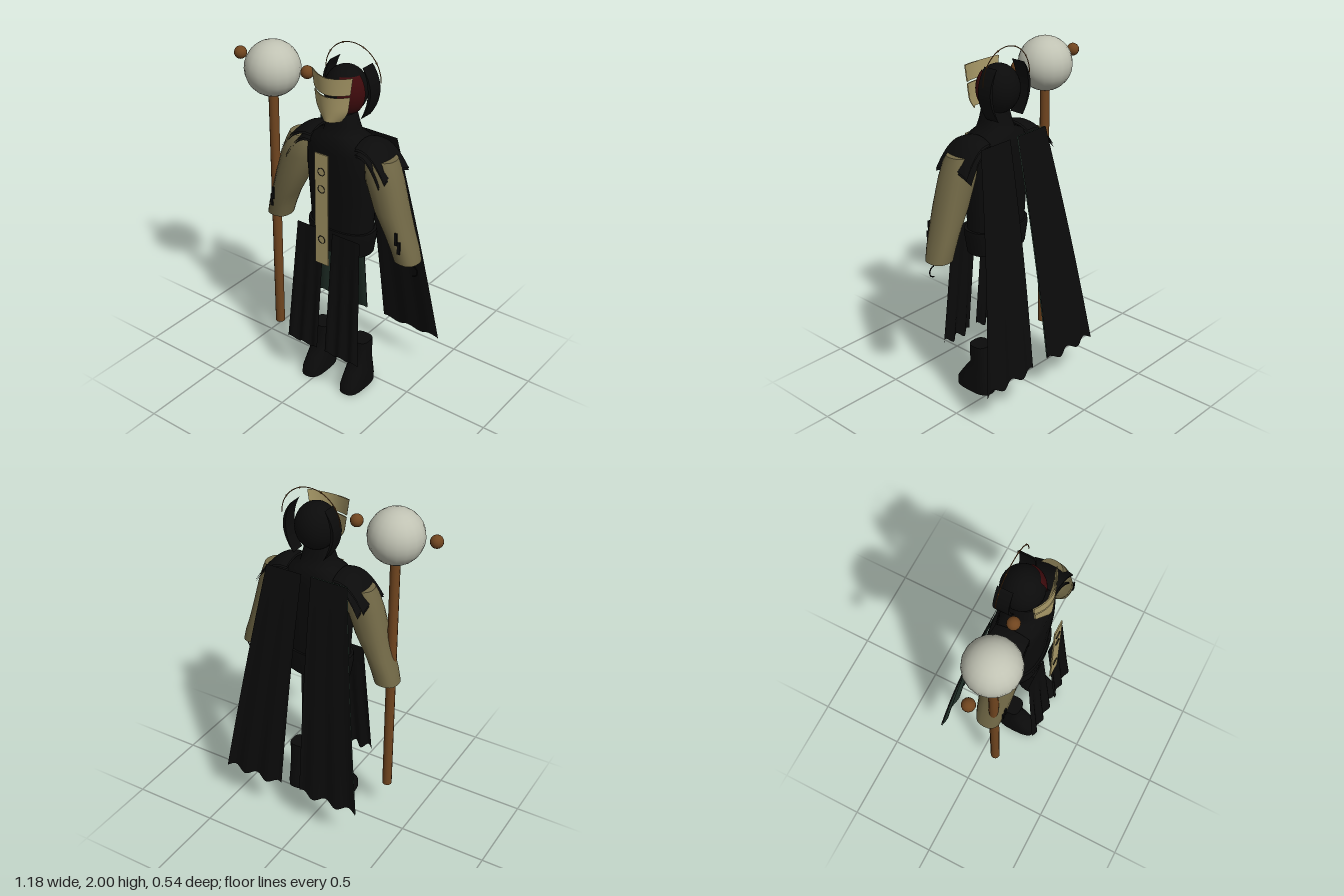
import * as THREE from 'three';

const CX = 0.095; // the figure's own centre line

function material(name, color, side = THREE.FrontSide) {
  const m = new THREE.MeshStandardMaterial({ color, side });
  m.name = name;
  return m;
}

// Closed body from horizontal oval sections [x, y, z, rx, rz], bottom to top
function loft(sections, n = 24, power = 1) {
  const pos = [], idx = [];
  const bend = (v) => Math.sign(v) * Math.abs(v) ** power;
  const ring = ([x, y, z, rx, rz]) => {
    for (let i = 0; i < n; i++) {
      const a = (i / n) * Math.PI * 2;
      pos.push(x + rx * bend(Math.cos(a)), y, z + rz * bend(Math.sin(a)));
    }
  };
  sections.forEach(ring);
  for (let j = 0; j < sections.length - 1; j++) {
    for (let i = 0; i < n; i++) {
      const a = j * n + i, b = j * n + ((i + 1) % n);
      idx.push(a, a + n, b, b, a + n, b + n);
    }
  }
  // flat caps with their own vertices
  [[sections[0], false], [sections[sections.length - 1], true]].forEach(([s, top]) => {
    const c = pos.length / 3;
    pos.push(s[0], s[1], s[2]);
    ring(s);
    for (let i = 0; i < n; i++) {
      const a = c + 1 + i, b = c + 1 + ((i + 1) % n);
      if (top) idx.push(c, b, a); else idx.push(c, a, b);
    }
  });
  const g = new THREE.BufferGeometry();
  g.setAttribute('position', new THREE.Float32BufferAttribute(pos, 3));
  g.setIndex(idx);
  g.computeVertexNormals();
  return g;
}

// Open sheet: rule(u, v) gives a point, u from -1 to 1 across, v from 0 (top) to 1
function sheet(rule, nu = 24, nv = 12) {
  const g = new THREE.PlaneGeometry(2, 1, nu, nv);
  const p = g.attributes.position;
  for (let i = 0; i < p.count; i++) p.setXYZ(i, ...rule(p.getX(i), 0.5 - p.getY(i)));
  g.computeVertexNormals();
  return g;
}

// Hanging cloth, with folds that grow towards the hem
function cloth(top, bottom, wave, sag, side) {
  const [t0, t1, ty, tz] = top, [b0, b1, by, bz] = bottom;
  const mix = THREE.MathUtils.lerp;
  return sheet((u, v) => {
    const s = (u + 1) / 2;
    const fold = Math.sin(s * Math.PI * 5 + 0.6) * v;
    return [
      CX + side * mix(mix(t0, t1, s), mix(b0, b1, s), v),
      mix(ty, by, v) + fold * 0.015,
      mix(tz, bz, v) + fold * wave + sag * Math.sin(v * Math.PI),
    ];
  });
}

export function createModel() {
  const model = new THREE.Group();
  const D = THREE.DoubleSide;
  const black = material('black cloth', 0x0b0b0b, D);
  const bone = material('bone plate', 0xa99a68, D);
  const sleeve = material('olive sleeve', 0x716846);
  const wood = material('brown wood', 0x70451f);
  const pearl = material('pale orb', 0xc0c2b3);
  const green = material('dark green lining', 0x22322a, D);
  const red = material('dark red', 0x3d0a0c);

  const add = (name, geometry, mat, x = 0, y = 0, z = 0) => {
    const m = new THREE.Mesh(geometry, mat);
    m.name = name;
    m.position.set(x, y, z);
    model.add(m);
    return m;
  };

  // Staff with its orb and two floating beads
  add('staffPole', new THREE.CylinderGeometry(0.027, 0.027, 1.46, 12), wood, -0.335, 0.93, 0.105);
  add('staffOrb', new THREE.SphereGeometry(0.15, 18, 14), pearl, -0.335, 1.79, 0.105);
  for (const x of [-0.56, -0.11]) add('bead', new THREE.SphereGeometry(0.035, 14, 10), wood, x, 1.82, 0.1);

  // Torso with collar, and belt
  add('torso', loft([
    [CX, 0.9, 0.07, 0.185, 0.105], [CX, 1.05, 0.07, 0.185, 0.108], [CX, 1.2, 0.07, 0.195, 0.115],
    [CX, 1.35, 0.07, 0.205, 0.122], [CX, 1.46, 0.07, 0.2, 0.122], [CX, 1.52, 0.07, 0.16, 0.12],
    [CX, 1.55, 0.07, 0.098, 0.095], [CX, 1.6, 0.07, 0.088, 0.075], [CX, 1.66, 0.07, 0.072, 0.065],
  ], 28, 0.85), black);
  add('belt', loft([
    [CX, 0.87, 0.07, 0.185, 0.11], [CX, 0.98, 0.07, 0.203, 0.12], [CX, 1.01, 0.07, 0.2, 0.118],
  ], 28, 0.85), black);

  // Front band with ring marks
  add('frontBand', new THREE.BoxGeometry(0.083, 0.65, 0.007), bone, CX, 1.155, 0.25);
  for (const y of [1.38, 1.28, 0.98]) {
    add('bandRing', new THREE.TorusGeometry(0.021, 0.002, 6, 20), black, CX, y, 0.254);
  }

  // Head with a red cheek on its left side
  add('head', new THREE.SphereGeometry(1, 28, 20), black, CX, 1.765, 0.045).scale.set(0.115, 0.13, 0.115);
  add('redCheek', new THREE.SphereGeometry(1, 16, 14, Math.PI * 0.58, Math.PI * 0.42, Math.PI * 0.25, Math.PI * 0.57),
    red, CX, 1.765, 0.045).scale.set(0.119, 0.134, 0.119);

  // Curved face mask in two plates, leaving an eye slit
  const halfWidth = (y) => (y > 1.72
    ? THREE.MathUtils.lerp(0.1, 0.125, (y - 1.72) / 0.17)
    : 0.1 - 0.045 * ((1.72 - y) / 0.08) ** 1.6);
  const maskPlate = (top, bottom) => {
    for (const back of [0, 0.006]) {
      add('mask', sheet((u, v) => {
        const y = THREE.MathUtils.lerp(top(u), bottom(u), v);
        return [CX + u * halfWidth(y), y, 0.207 - back - 0.043 * u * u];
      }, 20, 10), bone);
    }
  };
  const slit = (u) => 1.78 + 0.012 * u * u;
  maskPlate((u) => 1.875 + 0.015 * u * u, (u) => slit(u) + 0.006);
  maskPlate((u) => slit(u) - 0.006, () => 1.64);

  // Thin halo over the head
  add('halo', new THREE.TorusGeometry(0.173, 0.0025, 6, 48, Math.PI), wood, CX, 1.82, -0.012);
  for (const a of [0.6, 1.2, 1.95, 2.55]) {
    add('haloStud', new THREE.SphereGeometry(0.005, 8, 6), wood,
      CX + 0.173 * Math.cos(a), 1.82 + 0.173 * Math.sin(a), -0.012);
  }

  for (const side of [1, -1]) {
    const X = (d) => CX + side * d;

    // Crescent blade beside the head
    const blade = new THREE.Shape();
    blade.moveTo(side * 0.1, 1.9);
    blade.quadraticCurveTo(side * 0.205, 1.77, side * 0.09, 1.62);
    blade.quadraticCurveTo(side * 0.172, 1.77, side * 0.1, 1.9);
    add('headBlade', new THREE.ExtrudeGeometry(blade, { depth: 0.085, bevelEnabled: false, curveSegments: 16 }),
      black, CX, 0, -0.04);

    // Arm
    add('arm', loft([
      [X(0.425), 0.93, 0.075, 0.068, 0.07], [X(0.405), 1.0, 0.077, 0.07, 0.078], [X(0.375), 1.08, 0.08, 0.072, 0.085],
      [X(0.325), 1.2, 0.083, 0.09, 0.09], [X(0.275), 1.35, 0.08, 0.1, 0.09], [X(0.255), 1.43, 0.075, 0.09, 0.085],
      [X(0.25), 1.47, 0.07, 0.08, 0.07],
    ], 20, 0.85), sleeve);
    // Black clasp on the forearm
    add('forearmClasp', new THREE.BoxGeometry(0.016, 0.07, 0.009), black, X(0.405), 1.085, 0.162);
    add('forearmClasp', new THREE.BoxGeometry(0.016, 0.07, 0.009), black, X(0.42), 1.035, 0.156);

    // Layered shoulder guard
    [[0, 0.335, 1.545], [-0.02, 0.3, 1.53]].forEach(([drop, reach, y0]) => {
      for (const t of [0, 0.012]) {
        add('shoulderGuard', sheet((u, v) => [
          X(0.14 + (reach - 0.14) * v),
          y0 + drop - t + 0.015 * Math.sin(v * Math.PI) - 0.13 * v * v - 0.03 * u * u,
          0.065 + u * (0.095 + 0.015 * v),
        ], 12, 10), black);
      }
    });

    // Boot
    add('boot', loft([
      [X(0.135), 0, 0.11, 0.062, 0.122], [X(0.135), 0.045, 0.108, 0.062, 0.12], [X(0.134), 0.11, 0.09, 0.058, 0.092],
      [X(0.133), 0.18, 0.068, 0.053, 0.06], [X(0.133), 0.3, 0.07, 0.057, 0.056],
    ], 20, 0.7), black);

    // Front skirt panel and cape half
    add('skirtPanel', cloth([0.027, 0.205, 1.0, 0.198], [0.027, 0.243, 0.265, 0.262], 0.011, 0, side), black);
    const capeTop = [0.028, 0.245, 1.52, -0.063], capeHem = [0.06, 0.43, 0.235, -0.262];
    add('cape', cloth(capeTop, capeHem, 0.009, -0.012, side), black);
    // Green lining on the right half only
    if (side < 0) add('capeLining', cloth(capeTop, capeHem, 0.009, -0.012, side), green, 0, 0, 0.007);
  }

  // Small hook hanging at the left wrist
  add('wristHook', new THREE.TorusGeometry(0.03, 0.0035, 6, 16, Math.PI), black, 0.555, 0.875, 0.08).rotation.z = -Math.PI / 2;

  return model;
}
